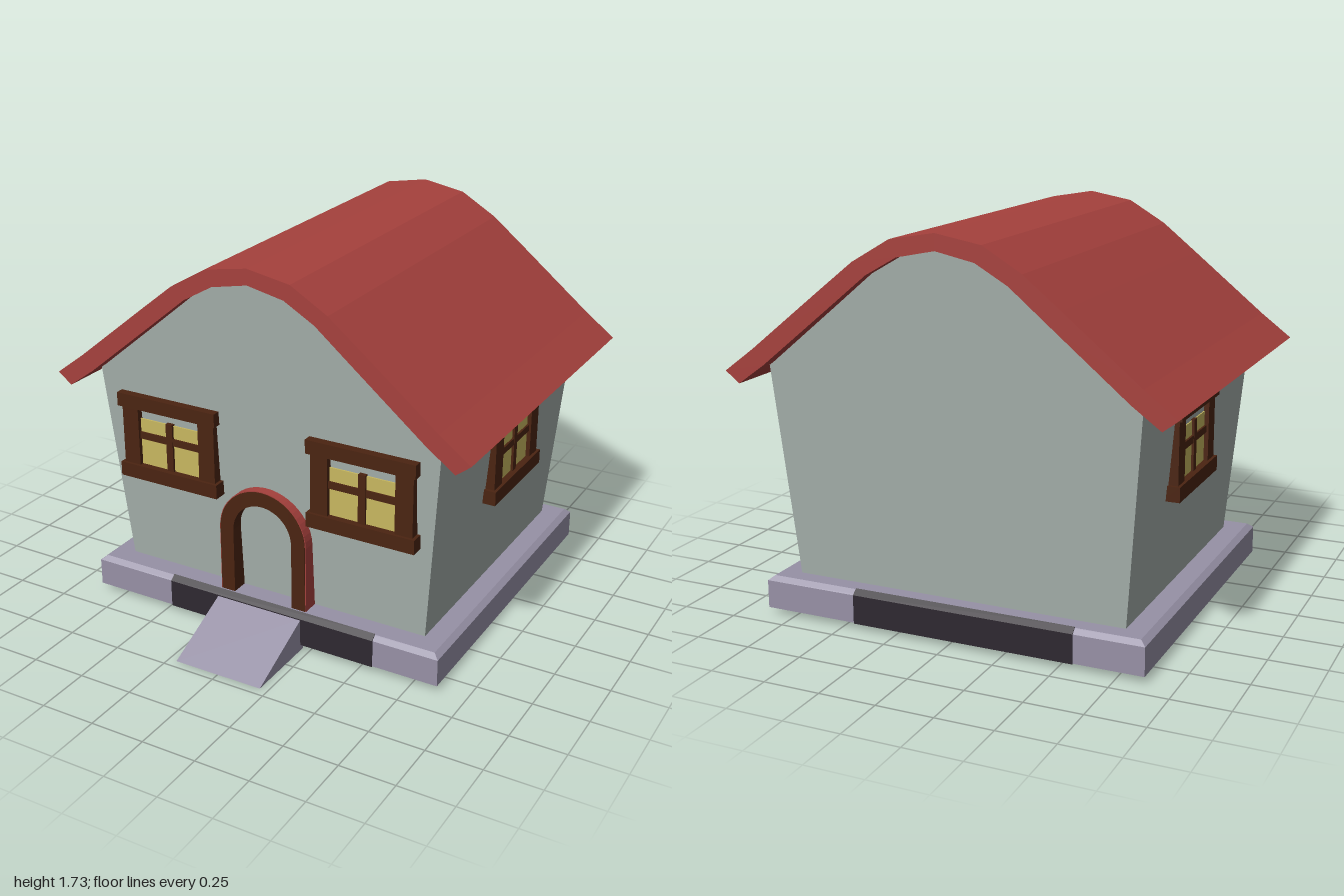
import * as THREE from 'three';

const paint = (name, color, side = THREE.FrontSide) => {
  const m = new THREE.MeshStandardMaterial({ color, side });
  m.name = name;
  return m;
};

export function createModel() {
  const house = new THREE.Group();
  house.name = 'cottage';

  const wallGrey = paint('wall grey', 0xa6b0ac);
  const roofRed = paint('roof red', 0xa6413d);
  const woodBrown = paint('wood brown', 0x4b2411);
  const glassYellow = paint('window yellow', 0xc8b860, THREE.DoubleSide);
  const stoneMauve = paint('stone mauve', 0x9791a6, THREE.DoubleSide);
  const darkStone = paint('dark stone', 0x2e2830, THREE.DoubleSide);

  const add = (name, geometry, material, parent = house) => {
    const mesh = new THREE.Mesh(geometry, material);
    mesh.name = name;
    parent.add(mesh);
    return mesh;
  };
  const shapeOf = (pts) => new THREE.Shape(pts.map(([x, y]) => new THREE.Vector2(x, y)));
  const extrude = (shape, z0, z1, curveSegments = 12) =>
    new THREE.ExtrudeGeometry(shape, { depth: z1 - z0, bevelEnabled: false, curveSegments }).translate(0, 0, z0);
  // Prism along x from a (z, y) profile
  const prismX = (pts, x0, x1) =>
    extrude(shapeOf(pts.map(([z, y]) => [-z, y])), x0, x1).rotateY(Math.PI / 2);
  // Box given by its limits
  const box = (x0, x1, y0, y1, z0, z1) =>
    new THREE.BoxGeometry(x1 - x0, y1 - y0, z1 - z0).translate((x0 + x1) / 2, (y0 + y1) / 2, (z0 + z1) / 2);
  // Adds the left half of a centre-to-eave profile: [-eave .. centre .. eave]
  const mirrored = (half) => [...half.slice(1).reverse().map(([x, y]) => [-x, y]), ...half];

  // Walls: gable outline extruded, front and back leaning outward with height
  const gable = [[0, 1.675], [0.17, 1.64], [0.31, 1.56], [0.48, 1.42], [0.835, 1.13], [0.755, 0.175]];
  const walls = extrude(shapeOf(mirrored(gable)), 0, 1);
  const p = walls.attributes.position;
  for (let i = 0; i < p.count; i++) {
    const lean = (p.getY(i) - 0.175) * 0.0636;
    p.setZ(i, p.getZ(i) > 0.5 ? 0.505 + lean : -0.82 - lean);
  }
  walls.computeVertexNormals();
  add('walls', walls, wallGrey);
  add('floorUnderside', box(-0.7, 0.7, 0.168, 0.177, -0.765, 0.45), darkStone);

  // Roof: curved slab
  const roofTop = [[0, 1.725], [0.2, 1.69], [0.37, 1.59], [0.53, 1.462], [0.86, 1.195], [1, 1.09]];
  const roofUnder = [[0, 1.655], [0.17, 1.62], [0.31, 1.54], [0.48, 1.4], [0.81, 1.13], [0.935, 1.04]];
  add('roof', extrude(shapeOf([...mirrored(roofTop), ...mirrored(roofUnder).reverse()]), -0.96, 0.66), roofRed);

  // Plinth: open-bottomed shell with a bevelled rim
  const midZ = -0.1475, halfX = 0.87, halfZ = 0.7675, inset = 0.971;
  const band = (y0, y1, top) => {
    const g = new THREE.CylinderGeometry(top * Math.SQRT2, Math.SQRT2, y1 - y0, 4, 1, true)
      .rotateY(Math.PI / 4).scale(halfX, 1, halfZ).translate(0, (y0 + y1) / 2, midZ).toNonIndexed();
    g.computeVertexNormals();
    return g;
  };
  const rect = (x, z0, z1) => [[-x, -z0], [x, -z0], [x, -z1], [-x, -z1]];
  const rim = shapeOf(rect(halfX * inset, midZ + halfZ * inset, midZ - halfZ * inset));
  rim.holes.push(shapeOf(rect(0.75, 0.5, -0.815)));
  const plinth = new THREE.Group();
  plinth.name = 'plinth';
  house.add(plinth);
  add('plinthSides', band(0.03, 0.155, 1), stoneMauve, plinth);
  add('plinthBevel', band(0.155, 0.175, inset), stoneMauve, plinth);
  add('plinthTop', new THREE.ShapeGeometry(rim).rotateX(-Math.PI / 2).translate(0, 0.175, 0), stoneMauve, plinth);

  // Dark patches wrapping the front and back of the plinth
  const patch = [[0.624, 0.028], [0.624, 0.157], [0.597, 0.179], [0.594, 0.171], [0.616, 0.152], [0.616, 0.028]];
  add('frontPatch', prismX(patch, -0.468, 0.565), darkStone, plinth);
  add('backPatch', prismX(patch.map(([z, y]) => [2 * midZ - z, y]), -0.565, 0.44), darkStone, plinth);

  // Entrance ramp
  add('ramp', prismX([[0.96, 0], [0.6, 0], [0.6, 0.156], [0.615, 0.156]], -0.212, 0.212), stoneMauve);

  // Door arch with a thin red outer skin
  const arch = (outer, inner) => {
    const s = new THREE.Shape();
    s.moveTo(outer, 0.175);
    s.lineTo(outer, 0.485);
    s.absarc(0, 0.485, outer, 0, Math.PI, false);
    s.lineTo(-outer, 0.175);
    s.lineTo(-inner, 0.175);
    s.lineTo(-inner, 0.485);
    s.absarc(0, 0.485, inner, Math.PI, 0, true);
    s.lineTo(inner, 0.175);
    return s;
  };
  add('doorArch', extrude(arch(0.214, 0.147), 0.49, 0.585), woodBrown);
  add('doorArchSkin', extrude(arch(0.218, 0.212), 0.49, 0.582), roofRed);

  // Windows: frame, cross bars and pane, facing local +z
  const addWindow = (name, x, y, z, turn) => {
    const w = new THREE.Group();
    w.name = name;
    w.position.set(x, y, z);
    w.rotation.y = turn;
    house.add(w);
    add('lintel', box(-0.255, 0.255, 0.137, 0.2, -0.03, 0.047), woodBrown, w);
    add('sill', box(-0.255, 0.255, -0.204, -0.138, -0.03, 0.045), woodBrown, w);
    for (const s of [-1, 1]) {
      add('stile', box(-0.041, 0.041, -0.14, 0.14, -0.03, 0.032).translate(s * 0.199, 0, 0), woodBrown, w);
    }
    add('pane', box(-0.16, 0.16, -0.14, 0.082, 0.006, 0.013), glassYellow, w);
    add('uprightBar', box(-0.017, 0.017, -0.14, 0.088, 0.004, 0.024), woodBrown, w);
    add('crossBar', box(-0.16, 0.16, -0.012, 0.02, 0.004, 0.022), woodBrown, w);
  };
  addWindow('frontRightWindow', -0.478, 0.823, 0.55, 0);
  addWindow('frontLeftWindow', 0.481, 0.808, 0.55, 0);
  addWindow('leftSideWindow', 0.807, 0.81, -0.22, Math.PI / 2);
  addWindow('rightSideWindow', -0.807, 0.81, -0.22, -Math.PI / 2);

  return house;
}
